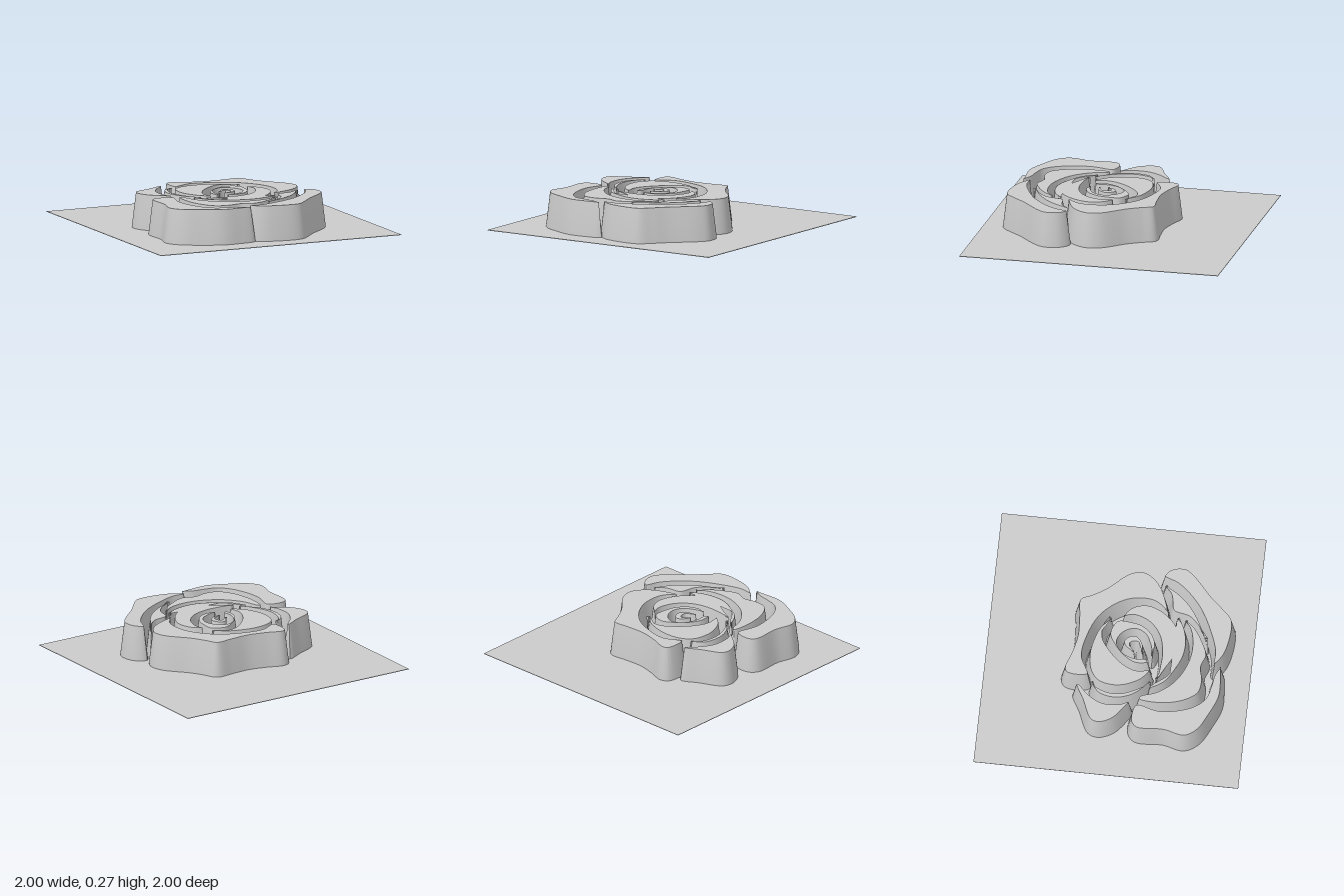
import * as THREE from 'three';
import { toCreasedNormals } from 'three/addons/utils/BufferGeometryUtils.js';

const HEIGHT = 0.27, FOOT = 0.02, DRAFT = 0.03;
const material = new THREE.MeshStandardMaterial({ color: 0xcccccc });

// Petal outlines as [x, z] points at mid wall height, smoothed into closed curves
const petals = {
  backLeftPetal: [[-0.39, -0.30], [-0.51, -0.24], [-0.67, -0.16], [-0.69, -0.09], [-0.65, 0.01], [-0.56, 0.09],
    [-0.49, 0.13], [-0.51, 0.04], [-0.51, -0.08], [-0.46, -0.18], [-0.38, -0.27]],
  backRightPetal: [[-0.32, -0.37], [-0.27, -0.40], [-0.14, -0.36], [0, -0.33], [0.15, -0.335], [0.29, -0.34], [0.34, -0.25],
    [0.40, -0.15], [0.54, 0.02], [0.56, 0.13], [0.49, 0.24], [0.37, 0.31], [0.25, 0.34], [0.32, 0.22], [0.32, 0.07],
    [0.26, -0.06], [0.15, -0.17], [0, -0.235], [-0.16, -0.26], [-0.31, -0.20]],
  frontLeftPetal: [[-0.50, 0.17], [-0.64, 0.14], [-0.70, 0.19], [-0.70, 0.40], [-0.73, 0.56], [-0.67, 0.66], [-0.53, 0.74],
    [-0.38, 0.80], [-0.25, 0.80], [-0.13, 0.78], [-0.20, 0.73], [-0.30, 0.71], [-0.40, 0.68], [-0.48, 0.58], [-0.53, 0.36]],
  frontRightPetal: [[-0.14, 0.72], [-0.08, 0.78], [0.02, 0.82], [0.24, 0.83], [0.33, 0.75], [0.41, 0.66], [0.58, 0.50],
    [0.62, 0.43], [0.60, 0.32], [0.53, 0.27], [0.48, 0.38], [0.40, 0.48], [0.28, 0.58], [0.10, 0.67], [-0.02, 0.71]],
  rightFold: [[0.26, 0.37], [0.38, 0.34], [0.47, 0.29], [0.43, 0.38], [0.34, 0.49], [0.20, 0.59], [0.06, 0.65],
    [0.12, 0.60], [0.22, 0.50]],
  frontCup: [[-0.47, 0.18], [-0.49, 0.35], [-0.45, 0.53], [-0.37, 0.64], [-0.26, 0.66], [-0.16, 0.64], [-0.06, 0.67],
    [0.08, 0.61], [0.17, 0.54], [0.21, 0.47], [0.10, 0.52], [-0.03, 0.535], [-0.15, 0.51], [-0.28, 0.44], [-0.38, 0.32],
    [-0.43, 0.19]],
  frontCupLip: [[-0.38, 0.25], [-0.32, 0.37], [-0.20, 0.45], [-0.08, 0.50], [0.05, 0.505], [0.18, 0.46], [0.22, 0.41],
    [0.10, 0.465], [-0.03, 0.48], [-0.14, 0.45], [-0.25, 0.37], [-0.34, 0.26]],
  leftCupLip: [[-0.35, -0.18], [-0.44, -0.14], [-0.48, -0.04], [-0.47, 0.08], [-0.41, 0.19], [-0.31, 0.27], [-0.37, 0.17],
    [-0.42, 0.05], [-0.42, -0.05], [-0.39, -0.13]],
  leftWhorl: [[0.17, -0.08], [0.09, -0.16], [0, -0.20], [-0.14, -0.225], [-0.28, -0.20], [-0.36, -0.13], [-0.385, 0],
    [-0.36, 0.11], [-0.30, 0.21], [-0.22, 0.26], [-0.225, 0.14], [-0.18, 0.04], [-0.09, -0.06], [0, -0.12], [0.10, -0.12]],
  rightWhorl: [[0.18, 0], [0.26, 0.05], [0.30, 0.17], [0.26, 0.30], [0.15, 0.42], [0, 0.455], [-0.12, 0.42], [-0.22, 0.36],
    [-0.30, 0.30], [-0.20, 0.31], [-0.07, 0.315], [0.06, 0.28], [0.15, 0.20], [0.19, 0.09]],
  innerSwirl: [[0.15, -0.04], [0.04, -0.09], [-0.06, -0.04], [-0.15, 0.05], [-0.19, 0.14], [-0.17, 0.24], [-0.13, 0.21],
    [-0.13, 0.12], [-0.09, 0.03], [-0.02, -0.01], [0.05, 0.03], [0.08, 0.11], [0.05, 0.18], [-0.02, 0.22], [-0.10, 0.25],
    [-0.03, 0.28], [0.06, 0.25], [0.13, 0.17], [0.155, 0.07]],
  bud: [[-0.10, 0.12], [-0.07, 0.05], [-0.02, 0.02], [0.03, 0.05], [0.05, 0.11], [0.02, 0.16], [-0.04, 0.19], [-0.09, 0.18],
    [-0.06, 0.15], [-0.02, 0.13], [-0.03, 0.09], [-0.07, 0.11]],
};

// Solid petal with drafted walls, flat on top
function petalGeometry(points) {
  const curve = new THREE.CatmullRomCurve3(points.map(([x, z]) => new THREE.Vector3(x, -z, 0)), true, 'centripetal');
  const outline = curve.getPoints(points.length * 6).slice(0, -1).map(p => new THREE.Vector2(p.x, p.y));
  const geometry = new THREE.ExtrudeGeometry(new THREE.Shape(outline), {
    depth: FOOT, bevelThickness: HEIGHT - FOOT, bevelSize: DRAFT, bevelOffset: -DRAFT / 2, bevelSegments: 1,
  });
  geometry.rotateX(-Math.PI / 2);
  // Flatten the lower bevel into the plate
  const pos = geometry.attributes.position;
  for (let i = 0; i < pos.count; i++) pos.setY(i, Math.max(pos.getY(i), 0.002));
  return toCreasedNormals(geometry, 0.6);
}

export function createModel() {
  const group = new THREE.Group();
  group.name = 'roseRelief';

  // Thin square backing sheet
  const plate = new THREE.Mesh(new THREE.BoxGeometry(2, 0.004, 2), material);
  plate.name = 'basePlate';
  plate.position.y = 0.002;
  group.add(plate);

  // Raised petals separated by grooves
  const rose = new THREE.Group();
  rose.name = 'rose';
  for (const [name, points] of Object.entries(petals)) {
    const petal = new THREE.Mesh(petalGeometry(points), material);
    petal.name = name;
    rose.add(petal);
  }
  group.add(rose);
  return group;
}
